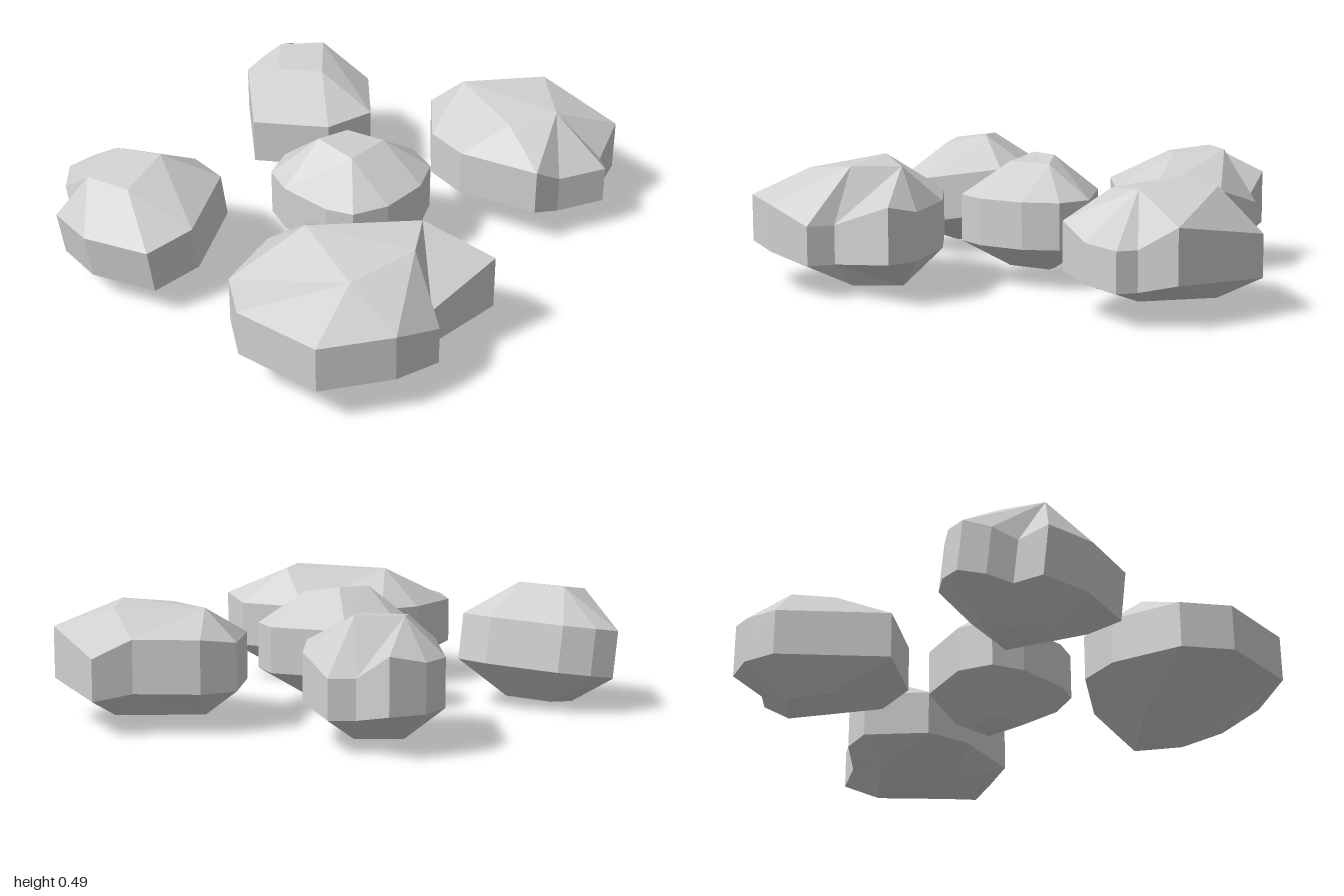
import * as THREE from 'three';

// A faceted rock: an upright band around the rim, sloping to a four-cornered crown,
// with the underside mirroring the top. Rim and crown run clockwise from above as
// [x, z, drop], where drop lowers that corner into a dent.
function rockGeometry(rim, crown, middle, halfHeight, lean) {
  const positions = [];
  const tri = (a, b, c) => positions.push(...a, ...b, ...c);
  const quad = (a, b, c, d) => { tri(a, b, c); tri(a, c, d); };

  // leaning tips the rock sideways about the middle of its crown
  const centre = crown.reduce((sum, [x]) => sum + x / crown.length, 0);
  const lift = ([x, z], h) => [x - lean * h, middle + h + lean * (x - centre), z];

  const upper = rim.map(([x, z, drop = 0]) => lift([x, z], 0.08 - drop));
  const lower = rim.map(([x, z, drop = 0]) => lift([x, z], -0.1 - Math.max(drop, 0) / 2));
  const top = crown.map(([x, z, drop = 0]) => lift([x, z], halfHeight - drop));
  const base = crown.map(([x, z, drop = 0]) => lift([x, z], drop - halfHeight));

  // each rim corner slopes to its nearest crown corner
  const nearest = rim.map(([x, z]) => {
    const gaps = crown.map(([cx, cz]) => Math.hypot(cx - x, cz - z));
    return gaps.indexOf(Math.min(...gaps));
  });

  rim.forEach((_, i) => {
    const j = (i + 1) % rim.length;
    const m = nearest[i], n = nearest[j];
    quad(lower[j], lower[i], upper[i], upper[j]);
    tri(upper[j], upper[i], top[m]);
    tri(lower[i], lower[j], base[m]);
    if (m !== n) {
      tri(upper[j], top[m], top[n]);
      tri(lower[j], base[n], base[m]);
    }
  });
  quad(top[0], top[3], top[2], top[1]);
  quad(...base);

  const geometry = new THREE.BufferGeometry();
  geometry.setAttribute('position', new THREE.Float32BufferAttribute(positions, 3));
  geometry.computeVertexNormals();
  return geometry;
}

export function createModel() {
  const group = new THREE.Group();
  group.name = 'rocks';
  const stone = new THREE.MeshStandardMaterial({ color: 0xd0d0d0, flatShading: true });
  stone.name = 'greyStone';

  function addRock(name, rim, crown, middle, halfHeight, lean = 0) {
    const mesh = new THREE.Mesh(rockGeometry(rim, crown, middle, halfHeight, lean), stone);
    mesh.name = name;
    group.add(mesh);
  }

  addRock('largeFrontRock',
    [[-0.99, 0.33], [-0.87, 0.17], [-0.6, 0.1], [-0.43, 0.14], [-0.24, 0.41], [-0.15, 0.69],
      [-0.18, 0.82, -0.03], [-0.47, 0.77, 0.065], [-0.53, 0.855, 0.065], [-0.73, 0.83], [-0.96, 0.67]],
    [[-0.6, 0.29], [-0.3, 0.58], [-0.46, 0.68], [-0.72, 0.61, 0.03]], 0.255, 0.225);

  addRock('backRock',
    [[-0.05, -0.51], [0.24, -0.83], [0.37, -0.86], [0.5, -0.81, -0.03], [0.51, -0.66, 0.065],
      [0.58, -0.59, 0.065], [0.52, -0.4], [0.32, -0.21], [0.12, -0.26]],
    [[0.18, -0.59, 0.02], [0.31, -0.7], [0.44, -0.58], [0.28, -0.44, 0.02]], 0.255, 0.22);

  addRock('centreRock',
    [[-0.32, -0.08], [-0.27, -0.2], [-0.14, -0.25], [0.09, -0.18], [0.22, 0.1],
      [0.17, 0.23], [0.04, 0.29], [-0.15, 0.29], [-0.28, 0.23], [-0.32, 0.13]],
    [[-0.14, -0.07], [-0.02, -0.03], [0.04, 0.1, 0.02], [-0.14, 0.1, 0.02]], 0.255, 0.225);

  addRock('sideFrontRock',
    [[0.32, 0.26], [0.36, 0.08], [0.56, -0.09], [0.7, -0.05, -0.02], [0.87, 0.13, -0.02], [1, 0.2, 0.045],
      [0.88, 0.6, -0.02], [0.74, 0.63, 0.065], [0.69, 0.69, 0.065], [0.51, 0.6, 0.065], [0.4, 0.57]],
    [[0.6, 0.04], [0.85, 0.26], [0.65, 0.47], [0.48, 0.37, 0.02]], 0.255, 0.2);

  addRock('leaningBackRock',
    [[-0.985, -0.46], [-0.955, -0.65], [-0.86, -0.69, 0.05], [-0.81, -0.77, 0.02], [-0.73, -0.83], [-0.63, -0.8],
      [-0.53, -0.72], [-0.42, -0.45], [-0.44, -0.29], [-0.72, -0.16], [-0.91, -0.2]],
    [[-0.84, -0.56], [-0.66, -0.6], [-0.59, -0.43], [-0.79, -0.4, 0.02]], 0.242, 0.225, 0.15);

  return group;
}
